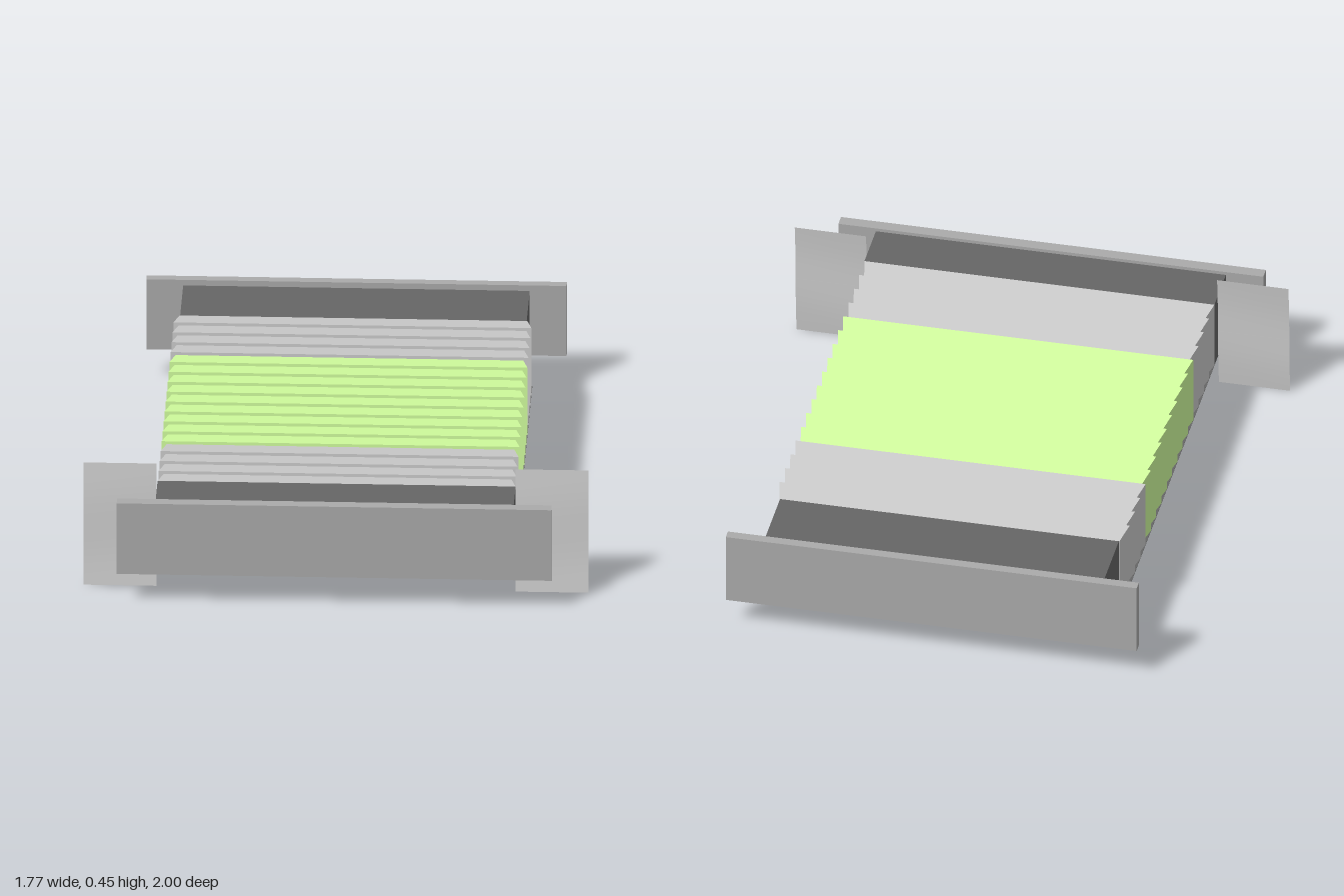
import * as THREE from 'three';

const material = (color) => new THREE.MeshStandardMaterial({ color, side: THREE.DoubleSide });
const grey = material(0xcccccc);
const midGrey = material(0xaaaaaa);
const dark = material(0x666666);
const green = material(0xd2ff9e);

const BASE = 0.115;

// Box centred on x, given its half width, bottom, top, and z range
function block(name, half, y0, y1, z0, z1, mat) {
  const geo = new THREE.BoxGeometry(half * 2, y1 - y0, z1 - z0);
  geo.translate(0, (y0 + y1) / 2, (z0 + z1) / 2);
  const mesh = new THREE.Mesh(geo, mat);
  mesh.name = name;
  return mesh;
}

// Slat that is wide and tall at the front, and narrows and drops towards the back
function slat(z0, z1, mat) {
  const mesh = block('slat', 0.626, BASE, 0.372, z0, z1, mat);
  const pos = mesh.geometry.attributes.position;
  const middle = (z0 + z1) / 2;
  for (let i = 0; i < pos.count; i++) {
    if (pos.getZ(i) > middle) continue;
    pos.setX(i, Math.sign(pos.getX(i)) * 0.608);
    if (pos.getY(i) > 0.3) pos.setY(i, 0.361);
  }
  mesh.geometry.computeVertexNormals();
  return mesh;
}

export function createModel() {
  const model = new THREE.Group();
  model.name = 'slattedBody';

  // End blocks and the flanges that close them
  model.add(
    block('frontBlock', 0.626, BASE, 0.372, 0.77, 0.957, dark),
    block('backBlock', 0.606, BASE, 0.361, -0.965, -0.7, dark),
    block('frontFlange', 0.76, BASE, 0.384, 0.957, 1, midGrey),
    block('backFlange', 0.735, BASE, 0.382, -1, -0.965, midGrey),
    block('basePlate', 0.626, BASE - 0.002, BASE, -0.7, 0.957, dark)
  );

  // Overlapping slats: four grey, nine green, four grey
  const slats = new THREE.Group();
  slats.name = 'slats';
  const count = 17, start = -0.702, pitch = (0.77 - start) / count;
  for (let i = 0; i < count; i++) {
    const z = start + i * pitch;
    slats.add(slat(z, z + pitch, i >= 4 && i < 13 ? green : grey));
  }
  model.add(slats);

  // Thin side tabs, leaning back and slightly curved
  for (const side of [-1, 1]) {
    const geo = new THREE.PlaneGeometry(0.255, 0.453, 1, 6);
    geo.translate(side * 0.7555, 0.2265, 0);
    const pos = geo.attributes.position;
    for (let i = 0; i < pos.count; i++) {
      const t = pos.getY(i) / 0.453;
      pos.setZ(i, 0.835 - 0.03 * t - 0.004 * Math.sin(2 * Math.PI * t));
    }
    geo.computeVertexNormals();
    const tab = new THREE.Mesh(geo, grey);
    tab.name = side > 0 ? 'leftTab' : 'rightTab';
    model.add(tab);
  }
  return model;
}
